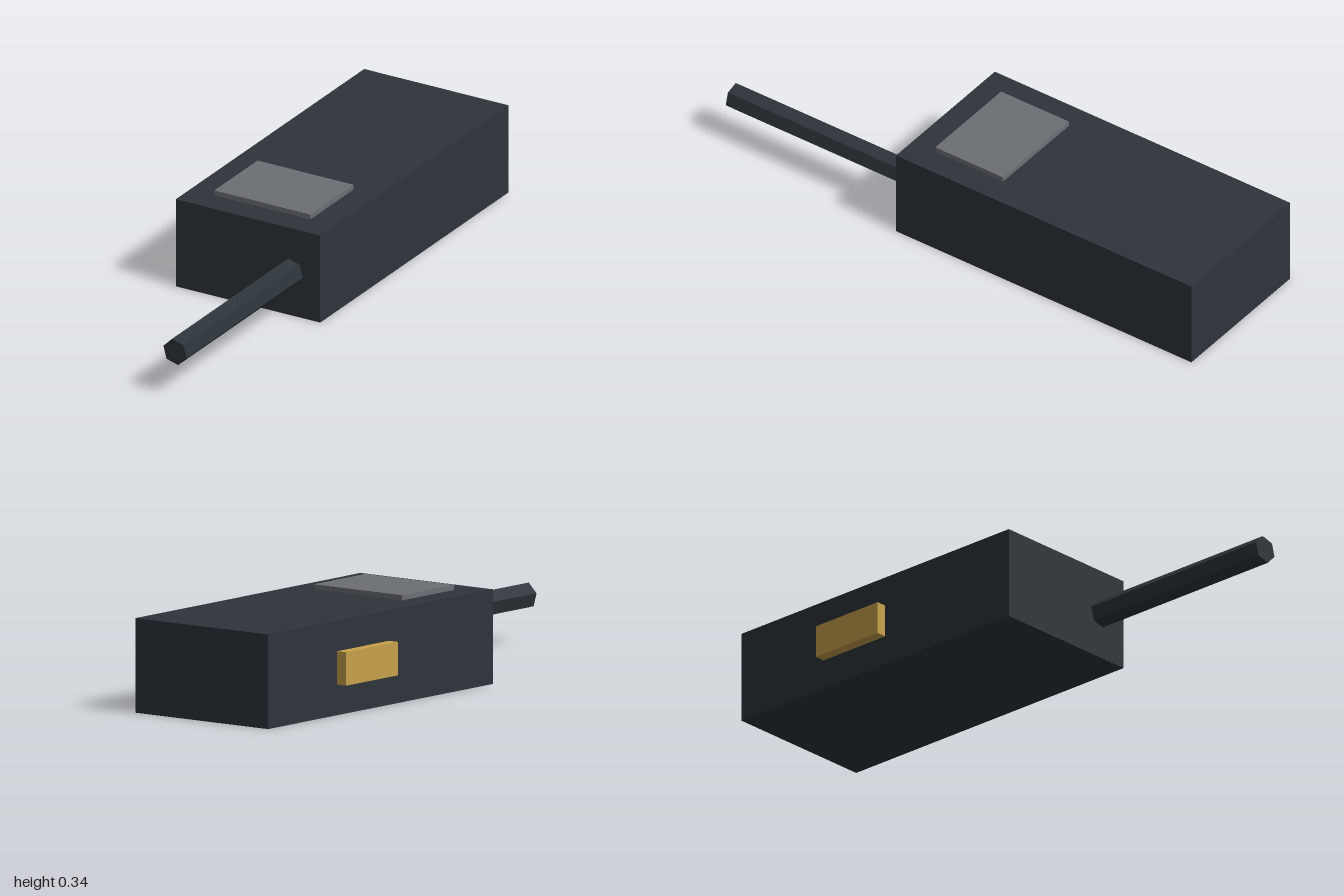
import * as THREE from 'three';

const paint = (name, color) => {
  const m = new THREE.MeshStandardMaterial({ color });
  m.name = name;
  return m;
};

export function createModel() {
  const model = new THREE.Group();
  model.name = 'handheldRadio';
  const casing = paint('charcoal', 0x2d343a);
  const glass = paint('screenGrey', 0x6b6f75);
  const brass = paint('brass', 0xc8a24a);

  // Box given by its lower and upper limits on each axis
  const block = (name, material, [x0, x1], [y0, y1], [z0, z1]) => {
    const mesh = new THREE.Mesh(new THREE.BoxGeometry(x1 - x0, y1 - y0, z1 - z0), material);
    mesh.position.set((x0 + x1) / 2, (y0 + y1) / 2, (z0 + z1) / 2);
    mesh.name = name;
    model.add(mesh);
  };

  block('body', casing, [-0.267, 0.305], [0, 0.325], [-1, 0.237]);
  block('screen', glass, [-0.172, 0.209], [0.325, 0.343], [-0.142, 0.142]);
  block('sideButton', brass, [-0.305, -0.267], [0.105, 0.22], [-0.62, -0.335]);

  // Six-sided antenna pointing forward, turned slightly about its axis
  const length = 0.763;
  const rod = new THREE.CylinderGeometry(0.0475, 0.0475, length, 6, 1, false, Math.PI / 12)
    .rotateX(Math.PI / 2)
    .toNonIndexed();
  rod.computeVertexNormals();
  const antenna = new THREE.Mesh(rod, casing);
  antenna.position.set(0.19, 0.163, 1 - length / 2);
  antenna.name = 'antenna';
  model.add(antenna);

  return model;
}
